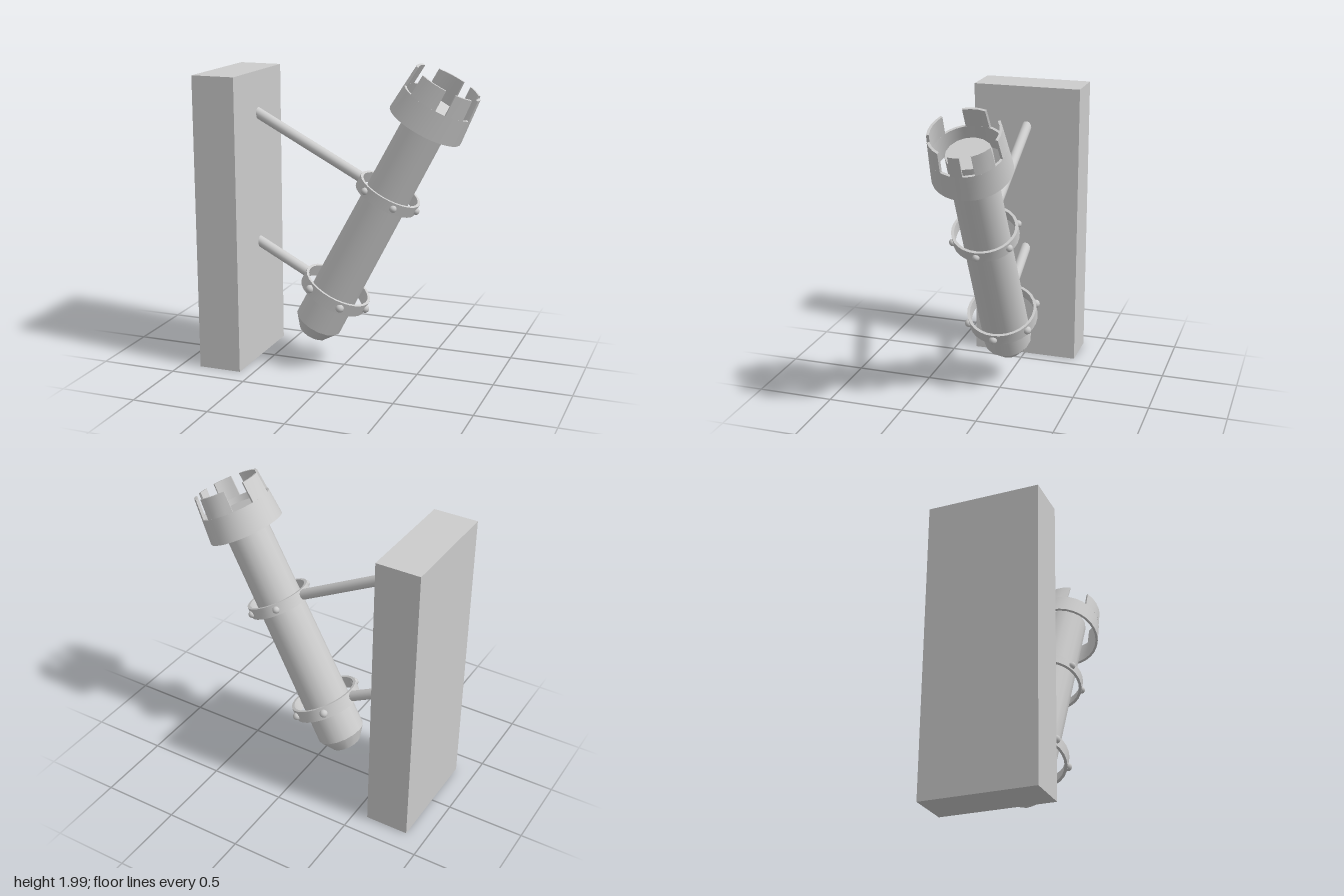
import * as THREE from 'three';

const material = new THREE.MeshStandardMaterial({ color: 0xcccccc });
const TILT = 0.483;

function add(parent, name, geometry, x = 0, y = 0, z = 0) {
  const mesh = new THREE.Mesh(geometry, material);
  mesh.name = name;
  mesh.position.set(x, y, z);
  parent.add(mesh);
  return mesh;
}

// A box bent round the y axis: angles in degrees from +x towards +z
function curvedWall(a0, a1, y0, y1, radiusAt, thickness) {
  const n = Math.max(2, Math.round((a1 - a0) / 12));
  const geometry = new THREE.BoxGeometry(1, 1, 1, n, 1, 1);
  const p = geometry.attributes.position;
  for (let i = 0; i < p.count; i++) {
    const angle = THREE.MathUtils.degToRad(a1 + (a0 - a1) * (p.getX(i) + 0.5));
    const y = y0 + (y1 - y0) * (p.getY(i) + 0.5);
    const r = radiusAt(y) + (p.getZ(i) - 0.5) * thickness;
    p.setXYZ(i, r * Math.cos(angle), y, r * Math.sin(angle));
  }
  geometry.computeVertexNormals();
  return geometry;
}

export function createModel() {
  const model = new THREE.Group();
  model.name = 'wallTorch';

  add(model, 'wallBlock', new THREE.BoxGeometry(0.283, 1.91, 0.72), -0.729, 0.955, 0);

  // Everything tilted lives in this group, with y along the shaft
  const torch = new THREE.Group();
  torch.name = 'torch';
  torch.position.set(-0.177, 0.283, 0);
  torch.rotation.z = -TILT;
  model.add(torch);

  // Shaft with a tapered foot
  add(torch, 'shaft', new THREE.CylinderGeometry(0.139, 0.158, 1.66, 16, 1), 0, 0.83, 0);
  add(torch, 'shaftFoot', new THREE.CylinderGeometry(0.158, 0.098, 0.088, 16, 1), 0, -0.044, 0);

  // Loose rings with studs, each held by a rod from the wall
  const rings = [
    { name: 'lower', y: 0.255, r: 0.228, h: 0.082, stud: 0.027, rod: 0.45 },
    { name: 'upper', y: 1.009, r: 0.207, h: 0.074, stud: 0.023, rod: 0.84 },
  ];
  for (const { name, y, r, h, stud, rod } of rings) {
    add(torch, name + 'Ring', curvedWall(0, 360, y - h / 2, y + h / 2, () => r, 0.018));
    for (const degrees of [-120, -60, 0, 60, 120]) {
      const a = THREE.MathUtils.degToRad(degrees);
      add(torch, name + 'Stud', new THREE.SphereGeometry(stud, 14, 10), r * Math.cos(a), y, r * Math.sin(a));
    }
    const bar = add(torch, name + 'Rod', new THREE.CylinderGeometry(0.034, 0.034, rod, 16), -r + 0.012 - rod / 2, y, 0);
    bar.rotation.z = Math.PI / 2;
  }

  // Open crown at the top, narrowing upwards, with six teeth
  const base = 1.517, floor = 1.685, top = 1.819;
  const crownRadius = (y) => 0.244 - 0.026 * (y - base) / (top - base);
  add(torch, 'crownBand', curvedWall(0, 360, base, floor, crownRadius, 0.016));
  const teeth = [[-9, 9], [27, 60], [77, 125], [160, 200], [235, 283], [300, 333]];
  for (const [a0, a1] of teeth) {
    add(torch, 'crownTooth', curvedWall(a0, a1, floor, top, crownRadius, 0.016));
  }

  return model;
}
